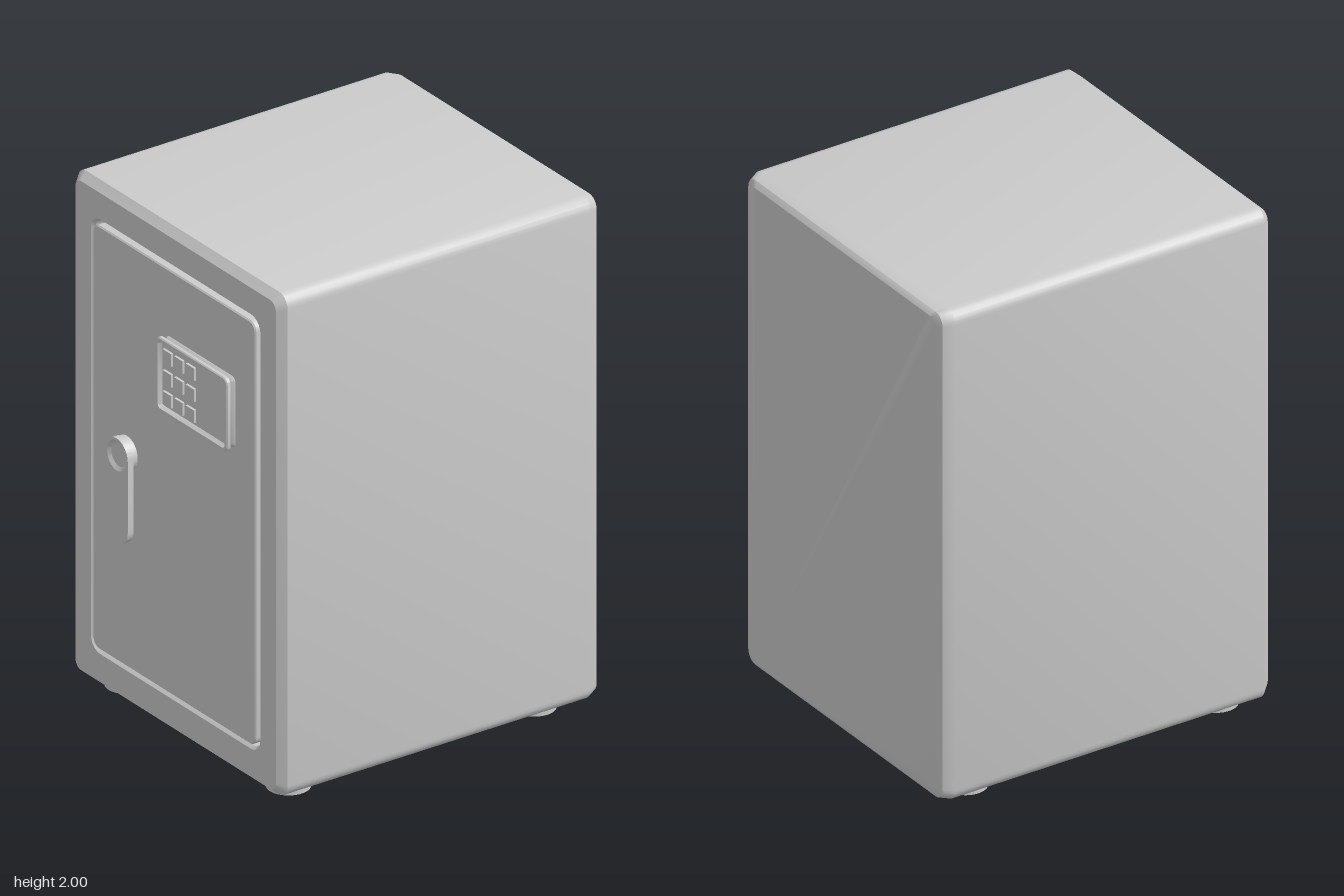
import * as THREE from 'three';
import { toCreasedNormals } from 'three/addons/utils/BufferGeometryUtils.js';

const material = new THREE.MeshStandardMaterial({ color: 0xcccccc });

function addMesh(parent, name, geometry, x = 0, y = 0, z = 0) {
  const mesh = new THREE.Mesh(geometry, material);
  mesh.name = name;
  mesh.position.set(x, y, z);
  parent.add(mesh);
  return mesh;
}

// Counter-clockwise rounded rectangle at depth z
function roundedRing([z, x0, x1, y0, y1, r], steps = 5) {
  const corners = [[x1 - r, y0 + r, -0.5], [x1 - r, y1 - r, 0], [x0 + r, y1 - r, 0.5], [x0 + r, y0 + r, 1]];
  const ring = [];
  for (const [cx, cy, start] of corners) {
    for (let i = 0; i <= steps; i++) {
      const a = Math.PI * (start + (0.5 * i) / steps);
      ring.push([cx + r * Math.cos(a), cy + r * Math.sin(a), z]);
    }
  }
  return ring;
}

// Skin through rounded rectangles, closed at both ends
function loft(sections) {
  const rings = sections.map((s) => roundedRing(s));
  const n = rings[0].length;
  const index = [];
  for (let k = 0; k < rings.length - 1; k++) {
    for (let i = 0; i < n; i++) {
      const a = k * n + i, b = k * n + ((i + 1) % n);
      index.push(a, b, b + n, a, b + n, a + n);
    }
  }
  const last = (rings.length - 1) * n;
  for (let i = 1; i < n - 1; i++) {
    index.push(0, i + 1, i, last, last + i, last + i + 1);
  }
  const geometry = new THREE.BufferGeometry();
  geometry.setAttribute('position', new THREE.Float32BufferAttribute(rings.flat(2), 3));
  geometry.setIndex(index);
  return toCreasedNormals(geometry, 0.55);
}

export function createModel() {
  const safe = new THREE.Group();
  safe.name = 'safe';

  // Cabinet with chamfered ends and a recessed door opening
  addMesh(safe, 'cabinet', loft([
    [-0.72, -0.58, 0.58, 0.065, 1.97, 0.04],
    [-0.705, -0.61, 0.61, 0.045, 1.988, 0.045],
    [-0.665, -0.63, 0.63, 0.035, 2, 0.05],
    [0.637, -0.63, 0.63, 0.035, 2, 0.05],
    [0.668, -0.603, 0.603, 0.06, 1.973, 0.035],
    [0.668, -0.51, 0.51, 0.17, 1.87, 0.055],
    [0.655, -0.5, 0.5, 0.18, 1.86, 0.045],
    [0.625, -0.5, 0.5, 0.18, 1.86, 0.045],
  ]));

  // Door panel
  addMesh(safe, 'door', loft([
    [0.62, -0.488, 0.488, 0.192, 1.848, 0.035],
    [0.67, -0.488, 0.488, 0.192, 1.848, 0.035],
    [0.675, -0.483, 0.483, 0.197, 1.843, 0.03],
  ]));

  // Keypad: waisted housing with a sunken face
  const keypad = new THREE.Group();
  keypad.name = 'keypad';
  safe.add(keypad);
  const housing = [[0.667, 0.004], [0.676, 0.006], [0.69, 0.018], [0.697, 0.004], [0.7, 0],
    [0.712, 0], [0.716, 0.004], [0.716, 0.014], [0.7, 0.022]];
  addMesh(keypad, 'keypadHousing', loft(housing.map(([z, d]) =>
    [z, -0.055 + d, 0.375 - d, 1.305 + d, 1.595 - d, 0.025 - d * 0.8])));
  for (let row = 0; row < 3; row++) {
    for (let col = 0; col < 3; col++) {
      addMesh(keypad, 'key', new THREE.BoxGeometry(0.05, 0.05, 0.02),
        0.005 + col * 0.069, 1.364 + row * 0.082, 0.7);
    }
  }

  // Handle: pill-shaped lever on a round hub
  const handle = new THREE.Group();
  handle.name = 'handle';
  handle.position.set(-0.282, 1.032, 0);
  safe.add(handle);
  const r = 0.067;
  const pill = new THREE.Shape();
  pill.absarc(0, 0, r, 0, Math.PI);
  pill.absarc(0, -0.275, r, Math.PI, 2 * Math.PI);
  pill.closePath();
  pill.holes.push(new THREE.Path().absarc(0, 0, 0.058, 0, 2 * Math.PI, true));
  const lever = new THREE.ExtrudeGeometry(pill, { depth: 0.025, bevelEnabled: false, curveSegments: 24 });
  addMesh(handle, 'lever', toCreasedNormals(lever, 0.5), 0, 0, 0.695);

  // Hub profile: stem, then a dished cap inside the lever
  const profile = [[0.064, 0.665], [0.064, 0.7], [0.058, 0.7], [0.058, 0.72], [0.045, 0.71], [0, 0.71]]
    .map(([x, y]) => new THREE.Vector2(x, y));
  const hub = new THREE.LatheGeometry(profile, 32).rotateX(Math.PI / 2);
  addMesh(handle, 'hub', toCreasedNormals(hub, 0.5));

  // Feet
  for (const x of [-0.485, 0.485]) {
    for (const z of [-0.525, 0.53]) {
      addMesh(safe, 'foot', new THREE.CylinderGeometry(0.08, 0.08, 0.045, 32), x, 0.0225, z);
    }
  }
  return safe;
}
